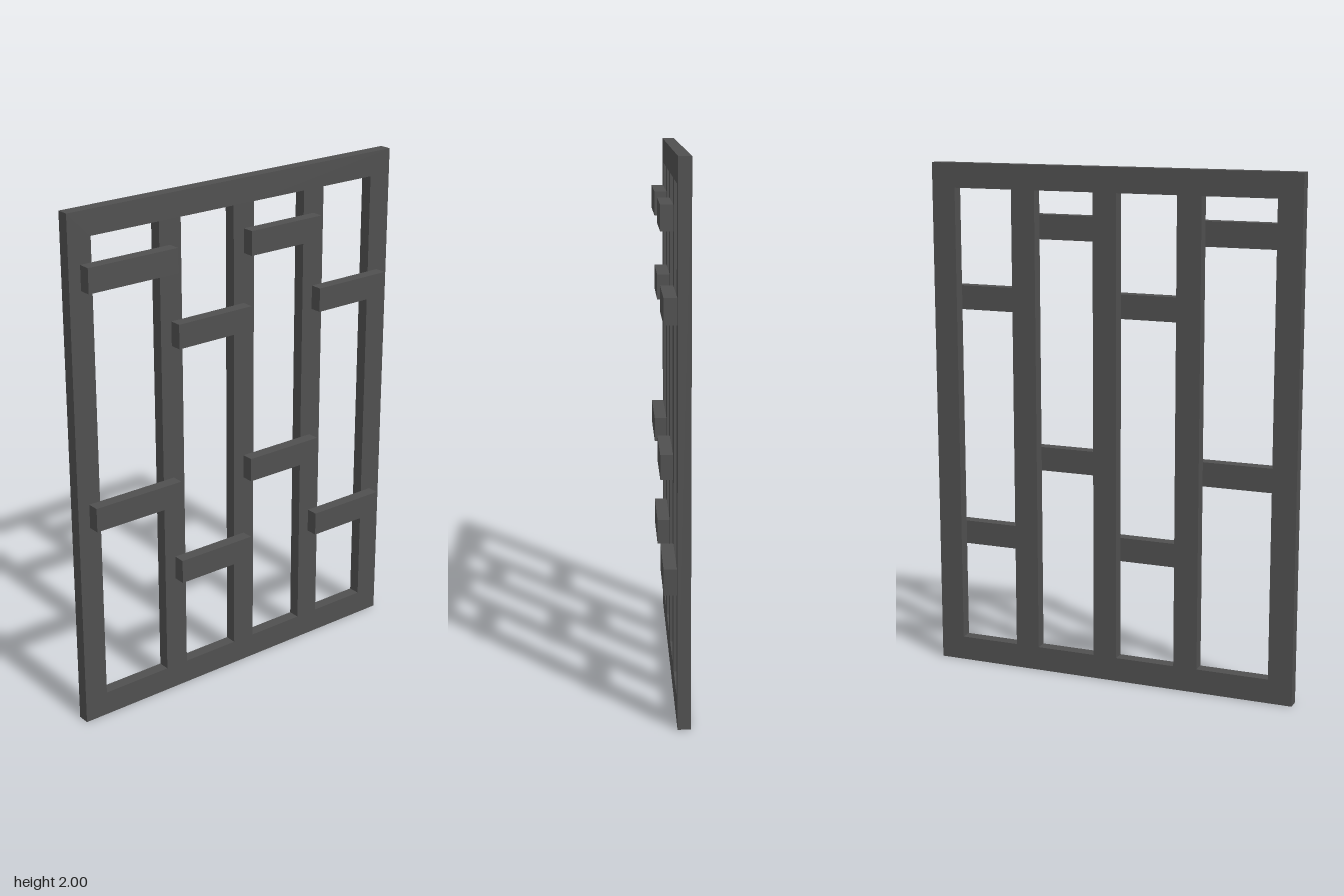
import * as THREE from 'three';

const DEPTH = 0.047;

function rectangle(Type, x0, y0, x1, y1) {
  const r = new Type();
  r.moveTo(x0, y0);
  r.lineTo(x1, y0);
  r.lineTo(x1, y1);
  r.lineTo(x0, y1);
  r.closePath();
  return r;
}

export function createModel() {
  const group = new THREE.Group();
  group.name = 'latticePanel';
  const charcoal = new THREE.MeshStandardMaterial({ color: 0x505050 });
  charcoal.name = 'charcoal';

  // Flat frame: outer border and three uprights, with four tall openings
  const outline = rectangle(THREE.Shape, -0.738, 0, 0.738, 2);
  const openings = [[-0.643, -0.357], [-0.262, -0.024], [0.071, 0.309], [0.405, 0.643]];
  for (const [x0, x1] of openings) {
    outline.holes.push(rectangle(THREE.Path, x0, 0.095, x1, 1.905));
  }
  const frame = new THREE.Mesh(
    new THREE.ExtrudeGeometry(outline, { depth: DEPTH, bevelEnabled: false }), charcoal);
  frame.name = 'frame';
  frame.position.z = -DEPTH;
  group.add(frame);

  // Staggered crossbars on the front, two per column
  const edges = [-0.69, -0.31, 0.023, 0.356, 0.69];
  const heights = [[0.858, 1.764], [0.525, 1.477]];
  for (let i = 0; i < 4; i++) {
    const width = edges[i + 1] - edges[i];
    for (const y of heights[i % 2]) {
      const bar = new THREE.Mesh(new THREE.BoxGeometry(width, 0.094, DEPTH), charcoal);
      bar.name = 'crossbar';
      bar.position.set(edges[i] + width / 2, y, DEPTH / 2);
      group.add(bar);
    }
  }
  return group;
}
